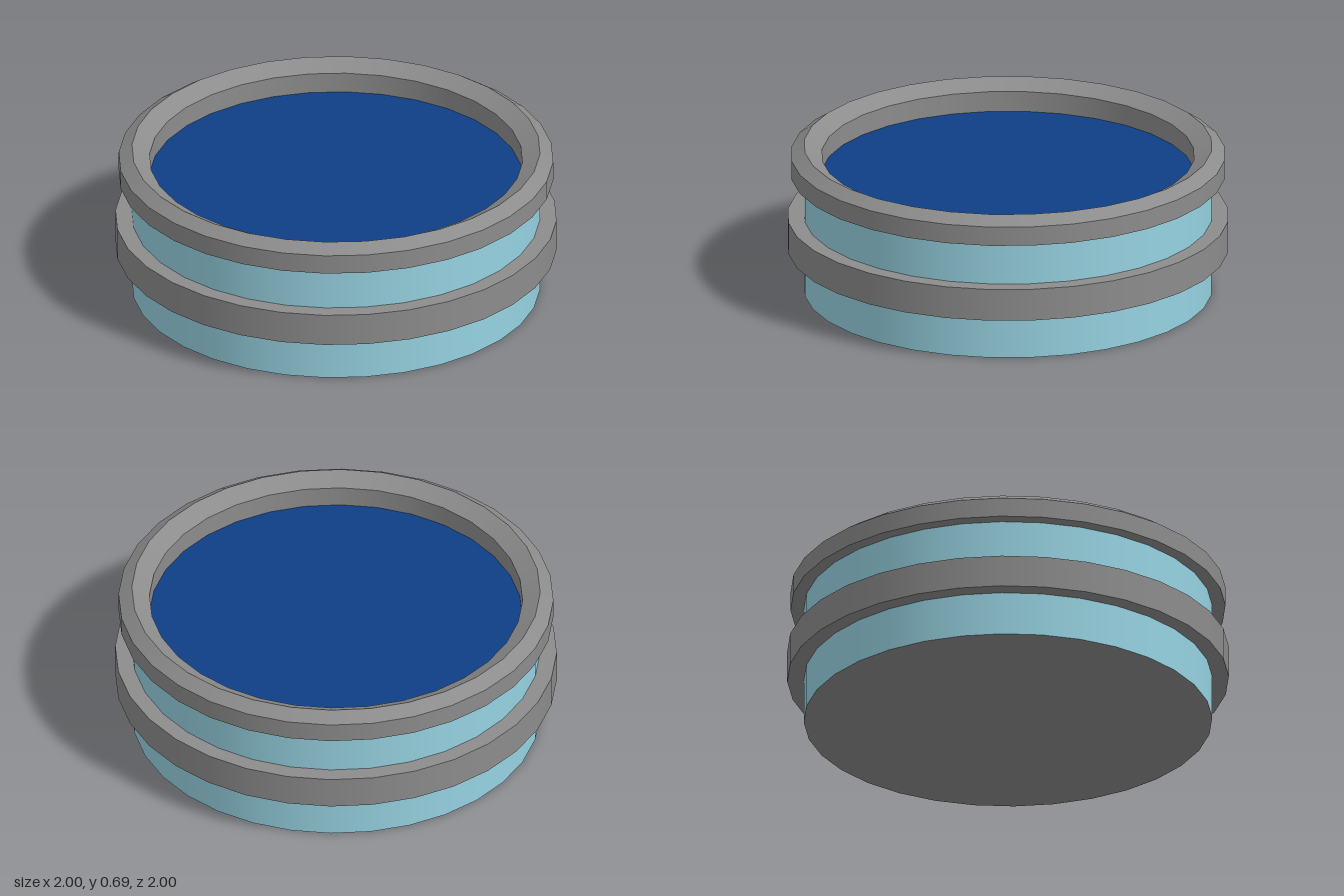
import * as THREE from 'three';
import { mergeGeometries } from 'three/addons/utils/BufferGeometryUtils.js';

const SIDES = 32;

// Turned ring: smooth around the axis, sharp at each profile corner.
function turned(profile) {
  const strips = [];
  for (let i = 0; i < profile.length - 1; i++) {
    const pair = [profile[i], profile[i + 1]].map(([r, y]) => new THREE.Vector2(r, y));
    strips.push(new THREE.LatheGeometry(pair, SIDES));
  }
  return mergeGeometries(strips);
}

function disc(radius, y, up) {
  const g = new THREE.CircleGeometry(radius, SIDES);
  g.rotateX(up ? -Math.PI / 2 : Math.PI / 2);
  return g.translate(0, y, 0);
}

export function createModel() {
  const group = new THREE.Group();
  const material = (name, color) => {
    const m = new THREE.MeshStandardMaterial({ color });
    m.name = name;
    return m;
  };
  const grey = material('grey', 0x8c8c8c);
  const paleBlue = material('paleBlue', 0x96d2e1);
  const deepBlue = material('deepBlue', 0x0e3f85);

  const add = (name, geometry, mat) => {
    const mesh = new THREE.Mesh(geometry, mat);
    mesh.name = name;
    group.add(mesh);
  };

  // Round wall and its underside
  add('wall', turned([[0.925, 0], [0.925, 0.56]]), paleBlue);
  add('base', disc(0.925, 0, false), grey);

  // Flat band around the middle
  add('band', turned([[0.92, 0.205], [1, 0.205], [1, 0.355], [0.92, 0.355]]), grey);

  // Rim, bevelled outward and inward from its crest
  add('rim', turned([
    [0.92, 0.56], [0.985, 0.56], [0.985, 0.65],
    [0.925, 0.69], [0.845, 0.645], [0.845, 0.54],
  ]), grey);

  // Sunken surface inside the rim
  add('surface', disc(0.845, 0.55, true), deepBlue);

  return group;
}
